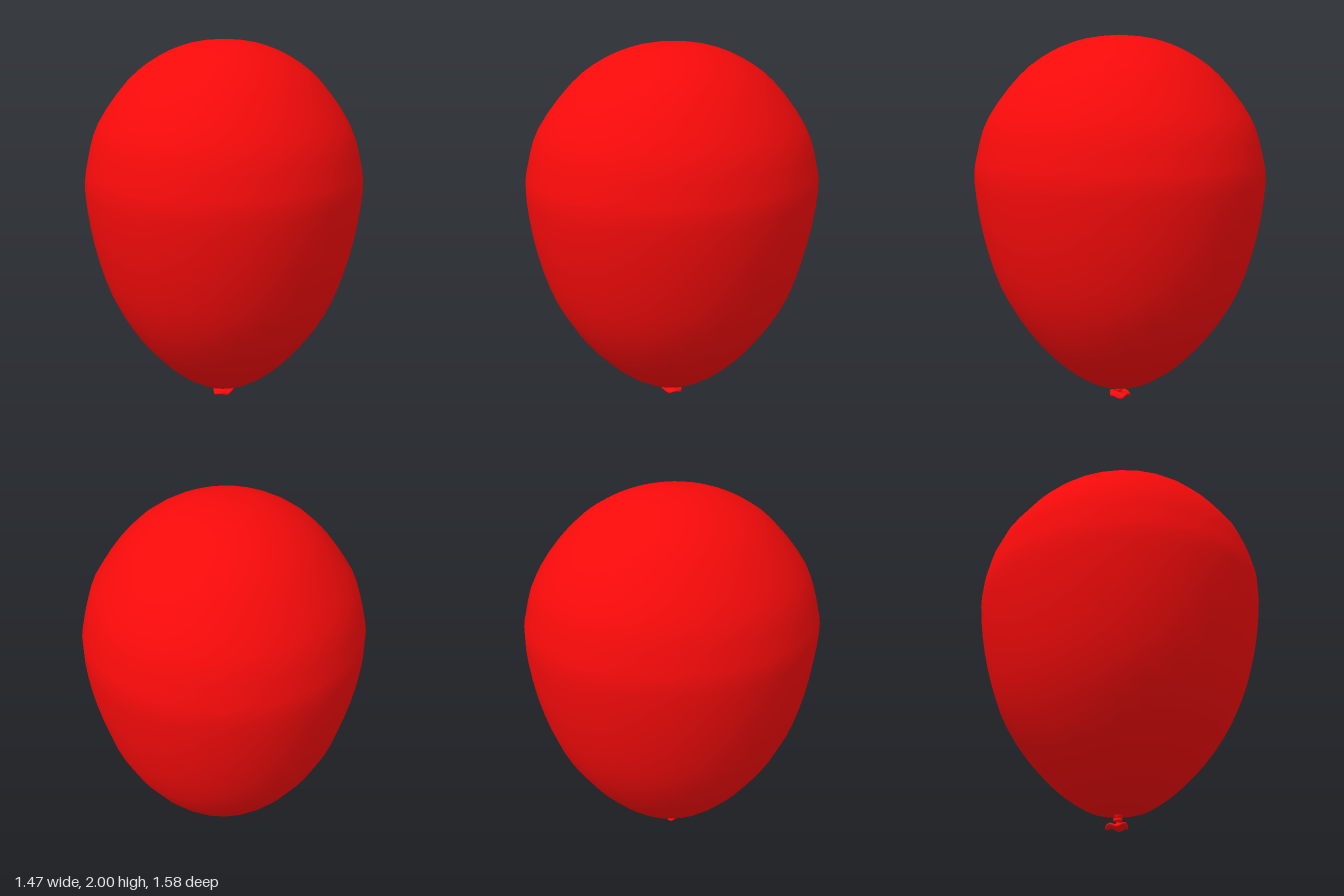
import * as THREE from 'three';

const red = new THREE.MeshStandardMaterial({ color: 0xf50a0a, side: THREE.DoubleSide });

// Smooth lathe through a few [radius, height] points
function turned(name, points, rings, sides) {
  const curve = new THREE.SplineCurve(points.map(([r, y]) => new THREE.Vector2(r, y)));
  const profile = curve.getPoints(rings).map(p => new THREE.Vector2(Math.max(p.x, 0), p.y));
  const mesh = new THREE.Mesh(new THREE.LatheGeometry(profile, sides), red);
  mesh.name = name;
  return mesh;
}

export function createModel() {
  const model = new THREE.Group();
  model.name = 'balloon';

  // Teardrop body, slightly deeper than wide
  const body = turned('balloonBody', [
    [0, 0.074], [0.085, 0.085], [0.18, 0.12], [0.327, 0.233], [0.485, 0.418], [0.617, 0.656],
    [0.7, 0.947], [0.737, 1.23], [0.72, 1.38], [0.66, 1.57], [0.5, 1.79], [0.34, 1.913],
    [0.17, 1.98], [0, 2],
  ], 39, 30);
  body.scale.z = 1.07;
  model.add(body);

  // Tied neck below the body
  model.add(turned('neck', [
    [0.012, 0.02], [0.013, 0.035], [0.018, 0.045], [0.014, 0.055], [0.02, 0.066], [0.024, 0.085],
  ], 14, 14));

  // Rolled knot around the neck
  const knot = new THREE.Mesh(new THREE.TorusGeometry(0.016, 0.009, 8, 18), red);
  knot.name = 'knot';
  knot.rotation.set(Math.PI / 2 + 0.15, 0.2, 0);
  knot.position.set(-0.008, 0.052, 0);
  model.add(knot);

  // Ruffled lip: a flared disc with a rolled rim, waved up and down and in and out
  const lip = turned('ruffledLip', [
    [0, 0.012], [0.03, 0.012], [0.05, 0.009], [0.058, 0.016],
    [0.053, 0.024], [0.04, 0.023], [0.022, 0.026], [0.01, 0.04],
  ], 24, 30);
  const pos = lip.geometry.attributes.position;
  for (let i = 0; i < pos.count; i++) {
    const x = pos.getX(i), z = pos.getZ(i);
    const a = Math.atan2(z, x), r = Math.hypot(x, z) / 0.058;
    const s = 1 + 0.1 * r * Math.cos(3 * a + 0.5);
    pos.setXYZ(i, x * s - 0.008 * r, pos.getY(i) + 0.008 * r * r * Math.sin(4 * a + 1), z * s);
  }
  lip.geometry.computeVertexNormals();
  model.add(lip);

  return model;
}
